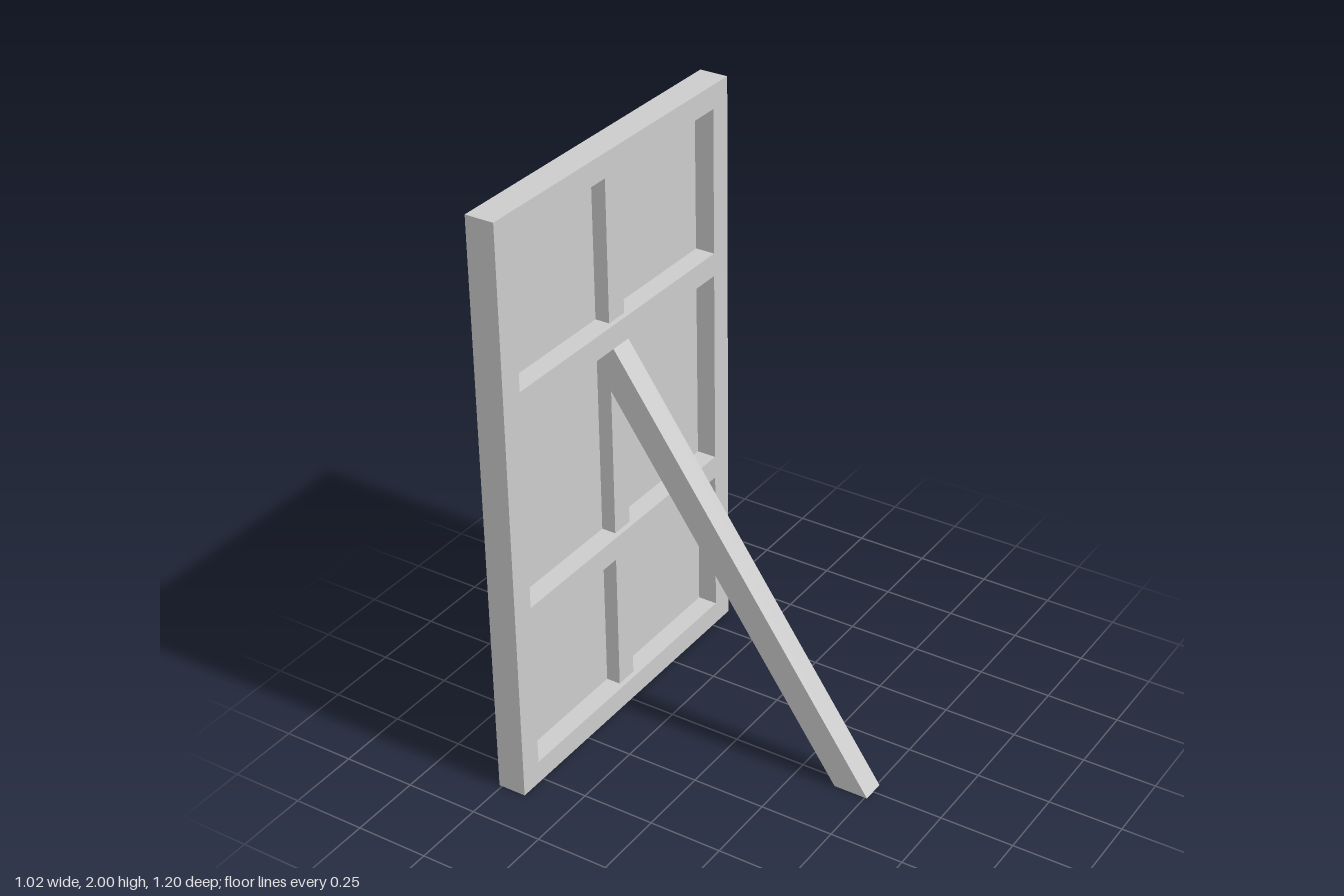
import * as THREE from 'three';

const BACK = -0.51, FRONT = -0.412;   // depth range of the panel along x
const SHEET = 0.03, POST = 0.05;      // thickness of sheet and recessed post
const HALF = 0.6, HEIGHT = 2, BAR = 0.08;

export function createModel() {
  const group = new THREE.Group();
  const material = new THREE.MeshStandardMaterial({ color: 0xcccccc, flatShading: true });
  const add = (name, geometry, x, y, z) => {
    const mesh = new THREE.Mesh(geometry, material);
    mesh.name = name;
    mesh.position.set(x, y, z);
    group.add(mesh);
  };
  const rect = (target, x0, y0, x1, y1) => {
    target.moveTo(x0, y0).lineTo(x1, y0).lineTo(x1, y1).lineTo(x0, y1).closePath();
    return target;
  };

  // Solid facing sheet
  add('backSheet', new THREE.BoxGeometry(SHEET, HEIGHT, HALF * 2), BACK + SHEET / 2, HEIGHT / 2, 0);

  // Outer frame and two cross rails, cut as one piece with three openings
  const openings = [[0.08, 0.59], [0.67, 1.345], [1.425, 1.92]];
  const outline = rect(new THREE.Shape(), -HALF, 0, HALF, HEIGHT);
  for (const [y0, y1] of openings) {
    outline.holes.push(rect(new THREE.Path(), BAR - HALF, y0, HALF - BAR, y1));
  }
  const frame = new THREE.ExtrudeGeometry(outline, {
    depth: FRONT - BACK - SHEET, bevelEnabled: false,
  });
  frame.rotateY(Math.PI / 2);
  add('frame', frame, BACK + SHEET, 0, 0);

  // Recessed centre post, one length per opening
  for (const [y0, y1] of openings) {
    add('centrePost', new THREE.BoxGeometry(POST, y1 - y0, BAR),
      BACK + SHEET + POST / 2, (y0 + y1) / 2, 0);
  }

  // Slanted brace with a level foot and a plumb-cut top against the post
  const slope = 1.45, top = BACK + SHEET + POST, heel = 0.39, toe = 0.508;
  const side = new THREE.Shape();
  side.moveTo(heel, 0).lineTo(toe, 0)
    .lineTo(top, (toe - top) * slope).lineTo(top, (heel - top) * slope).closePath();
  add('brace', new THREE.ExtrudeGeometry(side, { depth: BAR, bevelEnabled: false }), 0, 0, -BAR / 2);

  return group;
}
